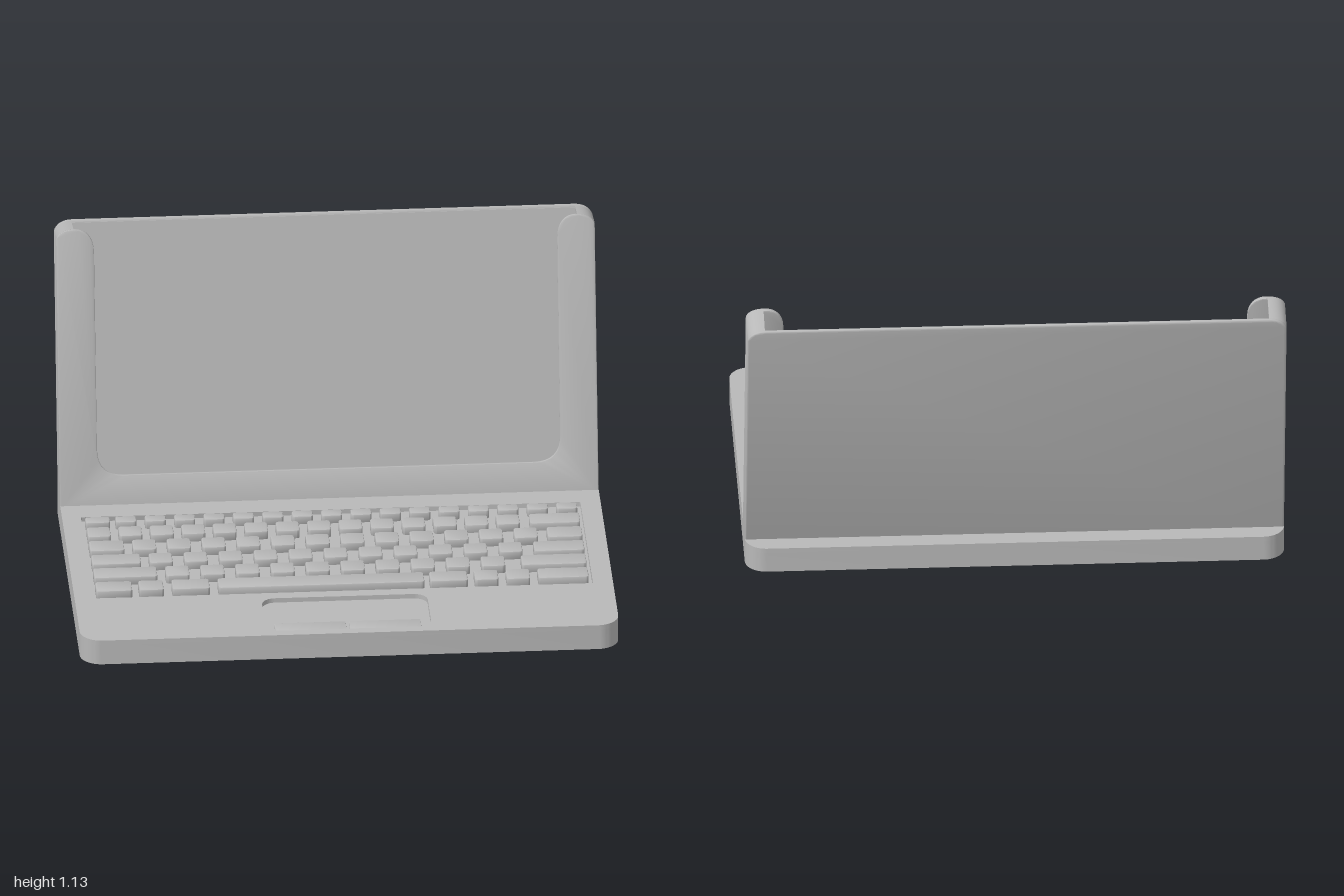
import * as THREE from 'three';
import { toCreasedNormals } from 'three/addons/utils/BufferGeometryUtils.js';

const casing = new THREE.MeshStandardMaterial({ color: 0xb8b8b8 });
casing.name = 'grey casing';

// Rounded rectangle, as a Shape or as a hole Path
function roundRect(x0, x1, y0, y1, r, Type = THREE.Shape) {
  const s = new Type();
  s.moveTo(x0 + r, y0);
  s.lineTo(x1 - r, y0);
  s.absarc(x1 - r, y0 + r, r, -Math.PI / 2, 0);
  s.lineTo(x1, y1 - r);
  s.absarc(x1 - r, y1 - r, r, 0, Math.PI / 2);
  s.lineTo(x0 + r, y1);
  s.absarc(x0 + r, y1 - r, r, Math.PI / 2, Math.PI);
  s.lineTo(x0, y0 + r);
  s.absarc(x0 + r, y0 + r, r, Math.PI, Math.PI * 1.5);
  return s;
}

// Extrude a shape between two depths, with its edges rounded inwards
function extrude(shape, from, to, bevel = 0, segments = 2) {
  const geo = new THREE.ExtrudeGeometry(shape, {
    depth: to - from - 2 * bevel, curveSegments: 8,
    bevelEnabled: bevel > 0, bevelSize: bevel, bevelThickness: bevel,
    bevelOffset: -bevel, bevelSegments: segments,
  });
  geo.translate(0, 0, from + bevel);
  return geo;
}

function add(parent, name, geo) {
  const mesh = new THREE.Mesh(toCreasedNormals(geo, 0.6), casing);
  mesh.name = name;
  parent.add(mesh);
  return mesh;
}

// Horizontal slab: shape y becomes -z, depth becomes height
const slab = (shape, y0, y1, bevel) => extrude(shape, y0, y1, bevel).rotateX(-Math.PI / 2);

function createBase() {
  const base = new THREE.Group();
  base.name = 'base';
  const outline = () => roundRect(-1, 1, -0.742, 0.6, 0.08);
  add(base, 'lowerCase', slab(outline(), 0, 0.08));

  // Top deck with wells for the keyboard and the touchpad
  const deck = outline();
  deck.holes.push(
    roundRect(-0.93, 0.925, -0.39, 0.285, 0.005, THREE.Path),
    roundRect(-0.31, 0.305, -0.705, -0.435, 0.05, THREE.Path));
  add(base, 'deck', slab(deck, 0.08, 0.098));

  for (const [x0, x1] of [[-0.275, -0.01], [0.002, 0.268]]) {
    add(base, 'touchpadButton', slab(roundRect(x0, x1, -0.692, -0.625, 0.005), 0.078, 0.09, 0.003));
  }
  return base;
}

function createKeyboard() {
  const keyboard = new THREE.Group();
  keyboard.name = 'keyboard';
  const key = (x0, x1, z0, z1) =>
    add(keyboard, 'key', slab(roundRect(x0, x1, -z1, -z0, 0.012), 0.075, 0.112, 0.005));

  // Each row: z range, wide keys, then a run of equal keys (first x, last x, count, width)
  const rows = [
    { z: [-0.26, -0.208], wide: [[-0.917, -0.826]], run: [-0.805, 0.832, 16, 0.077] },
    { z: [-0.175, -0.093], wide: [[0.725, 0.912]], run: [-0.917, 0.602, 14, 0.086] },
    { z: [-0.062, 0.024], wide: [[-0.917, -0.789], [0.783, 0.912]], run: [-0.757, 0.66, 12, 0.087] },
    { z: [0.054, 0.137], wide: [[-0.917, -0.735], [0.725, 0.912]], run: [-0.703, 0.596, 11, 0.086] },
    { z: [0.165, 0.249], wide: [[-0.917, -0.682], [0.671, 0.912]], run: [-0.65, 0.522, 10, 0.088] },
    {
      z: [0.279, 0.361], run: [0.489, 0.607, 2, 0.088],
      wide: [[-0.917, -0.783], [-0.757, -0.666], [-0.634, -0.495], [-0.463, 0.302], [0.323, 0.463], [0.725, 0.912]],
    },
  ];
  for (const { z, wide, run: [first, last, count, width] } of rows) {
    for (const [x0, x1] of wide) key(x0, x1, ...z);
    for (let i = 0; i < count; i++) {
      const x = first + (last - first) * i / (count - 1);
      key(x, x + width, ...z);
    }
  }
  return keyboard;
}

// Hollow lid, open at the top, leaning back from the hinge line
function createLid() {
  const lid = new THREE.Group();
  lid.name = 'lid';
  lid.position.set(0, 0.1, -0.382);
  lid.rotation.x = -0.21;
  const bottom = -0.015, depth = 0.143, top = 1.054;

  // U-shaped front bezel with rounded arm tips
  const bezel = new THREE.Shape();
  bezel.moveTo(-1, bottom);
  bezel.lineTo(1, bottom);
  bezel.lineTo(1, top - 0.035);
  bezel.quadraticCurveTo(0.985, top, 0.93, top);
  bezel.bezierCurveTo(0.89, top, 0.86, top - 0.03, 0.86, top - 0.09);
  bezel.lineTo(0.86, 0.21);
  bezel.quadraticCurveTo(0.86, 0.11, 0.76, 0.11);
  bezel.lineTo(-0.76, 0.11);
  bezel.quadraticCurveTo(-0.86, 0.11, -0.86, 0.21);
  bezel.lineTo(-0.86, top - 0.09);
  bezel.bezierCurveTo(-0.86, top - 0.03, -0.89, top, -0.93, top);
  bezel.quadraticCurveTo(-0.985, top, -1, top - 0.035);
  add(lid, 'bezel', extrude(bezel, -0.016, 0, 0.005));

  // Thin side walls curling inwards at the top
  for (const side of [-1, 1]) {
    const wall = new THREE.Shape();
    wall.moveTo(side, bottom);
    wall.lineTo(side, top - 0.035);
    wall.quadraticCurveTo(side * 0.985, top, side * 0.935, top);
    wall.lineTo(side * 0.935, top - 0.015);
    wall.quadraticCurveTo(side * 0.975, top - 0.015, side * 0.984, top - 0.045);
    wall.lineTo(side * 0.984, bottom);
    add(lid, side > 0 ? 'leftWall' : 'rightWall', extrude(wall, -depth + 0.008, -0.006));
  }

  // Back cover with rounded upper corners
  const back = new THREE.Shape();
  back.moveTo(-1, bottom);
  back.lineTo(1, bottom);
  back.lineTo(1, top - 0.035);
  back.quadraticCurveTo(0.985, top + 0.006, 0.93, top + 0.006);
  back.lineTo(-0.93, top + 0.006);
  back.quadraticCurveTo(-0.985, top + 0.006, -1, top - 0.035);
  add(lid, 'backCover', extrude(back, -depth, -depth + 0.016, 0.007, 3));

  // Screen panel lying on the inside of the cover
  const screen = add(lid, 'screen', new THREE.BoxGeometry(1.87, top - 0.01, 0.004));
  screen.position.set(0, top / 2, -depth + 0.017);
  return lid;
}

export function createModel() {
  const model = new THREE.Group();
  model.name = 'laptop';
  model.add(createBase(), createKeyboard(), createLid());
  return model;
}
